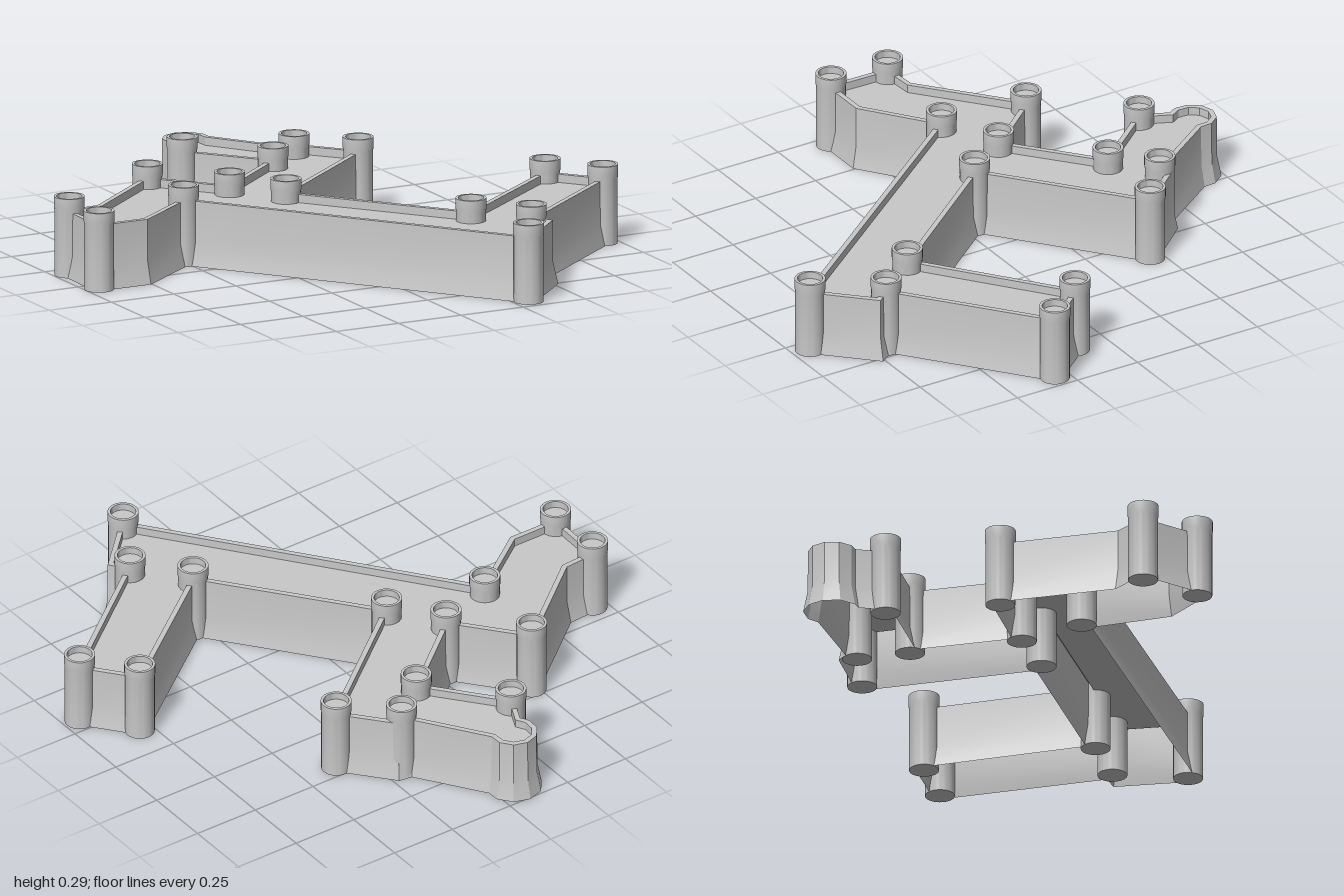
import * as THREE from 'three';
import { toCreasedNormals } from 'three/addons/utils/BufferGeometryUtils.js';

const stone = new THREE.MeshStandardMaterial({ color: 0xc8c8c8, side: THREE.DoubleSide });
stone.name = 'grey stone';

const WALL_TOP = 0.235, FLOOR = 0.205;

// Tower centres as [x, z]
const T = {
  bastion: [-0.184, -0.745], outerStep: [0.187, -0.6], northEast: [0.364, -0.45],
  innerNorth: [0.037, -0.478], innerNorthWest: [-0.277, -0.217], northWest: [-0.478, -0.457],
  westBack: [-0.944, -0.171], westFront: [-0.949, 0.062], westInner: [-0.51, -0.125],
  eastInner: [-0.147, -0.037], courtCorner: [0.297, 0.521], eastBack: [0.8, 0.136],
  eastFront: [0.94, 0.307], southInner: [0.443, 0.7], south: [0.308, 0.933],
};

// Rounded end of the north wing
const bastionArc = [135, 165, 200, 235, 270, 305, 340, 375].map((deg) => {
  const a = THREE.MathUtils.degToRad(deg);
  return [-0.083 + 0.074 * Math.cos(a), -0.904 + 0.074 * Math.sin(a)];
});

// Wall plan, clockwise seen from above
const plan = [
  T.westBack, [-0.815, -0.179], T.northWest, T.innerNorthWest, T.innerNorth, T.bastion,
  ...bastionArc, [0.165, -0.63], [0.217, -0.622], T.northEast, T.eastInner, T.courtCorner,
  T.eastBack, T.eastFront, T.southInner, [0.483, 0.757], T.south, T.westInner,
  [-0.765, 0.062], T.westFront,
];

// Plan moved outward by a distance, with limited mitres
function offsetPlan(dist) {
  const n = plan.length;
  const normal = (a, b) => new THREE.Vector2(b[1] - a[1], a[0] - b[0]).normalize();
  return plan.map((p, i) => {
    const n0 = normal(plan[(i + n - 1) % n], p);
    const n1 = normal(p, plan[(i + 1) % n]);
    const m = n0.clone().add(n1).normalize();
    const d = dist / Math.max(0.55, m.dot(n0));
    return [p[0] + m.x * d, p[1] + m.y * d];
  });
}

// Flared, open-bottomed wall with a parapet rim, lofted through offset rings
function wallGeometry() {
  const rings = [
    [0.028, 0], [0.013, 0.08], [0.012, WALL_TOP], [-0.007, WALL_TOP], [-0.007, FLOOR],
  ].map(([dist, y]) => offsetPlan(dist).map(([x, z]) => [x, y, z]));
  const pos = [];
  for (let r = 0; r < rings.length - 1; r++) {
    for (let i = 0; i < plan.length; i++) {
      const j = (i + 1) % plan.length;
      const a = rings[r][i], b = rings[r][j], c = rings[r + 1][j], d = rings[r + 1][i];
      pos.push(...a, ...d, ...b, ...b, ...d, ...c);
    }
  }
  const g = new THREE.BufferGeometry();
  g.setAttribute('position', new THREE.Float32BufferAttribute(pos, 3));
  return toCreasedNormals(g, 0.4);
}

// Sunken roof walk
function floorGeometry() {
  const shape = new THREE.Shape(offsetPlan(-0.007).map(([x, z]) => new THREE.Vector2(x, -z)));
  return new THREE.ShapeGeometry(shape).rotateX(-Math.PI / 2).translate(0, FLOOR, 0);
}

// Round tower with a hollow top
function towerGeometry() {
  const profile = [
    [0, 0], [0.053, 0], [0.053, 0.24], [0.055, 0.25], [0.055, 0.288],
    [0.045, 0.288], [0.045, 0.262], [0, 0.262],
  ].map(([r, y]) => new THREE.Vector2(r, y));
  return toCreasedNormals(new THREE.LatheGeometry(profile, 32), 0.6);
}

export function createModel() {
  const model = new THREE.Group();
  model.name = 'castle';
  const add = (name, geometry) => {
    const mesh = new THREE.Mesh(geometry, stone);
    mesh.name = name;
    model.add(mesh);
    return mesh;
  };
  add('curtainWall', wallGeometry());
  add('roofFloor', floorGeometry());
  const tower = towerGeometry();
  for (const [name, [x, z]] of Object.entries(T)) add(name + 'Tower', tower).position.set(x, 0, z);
  return model;
}
